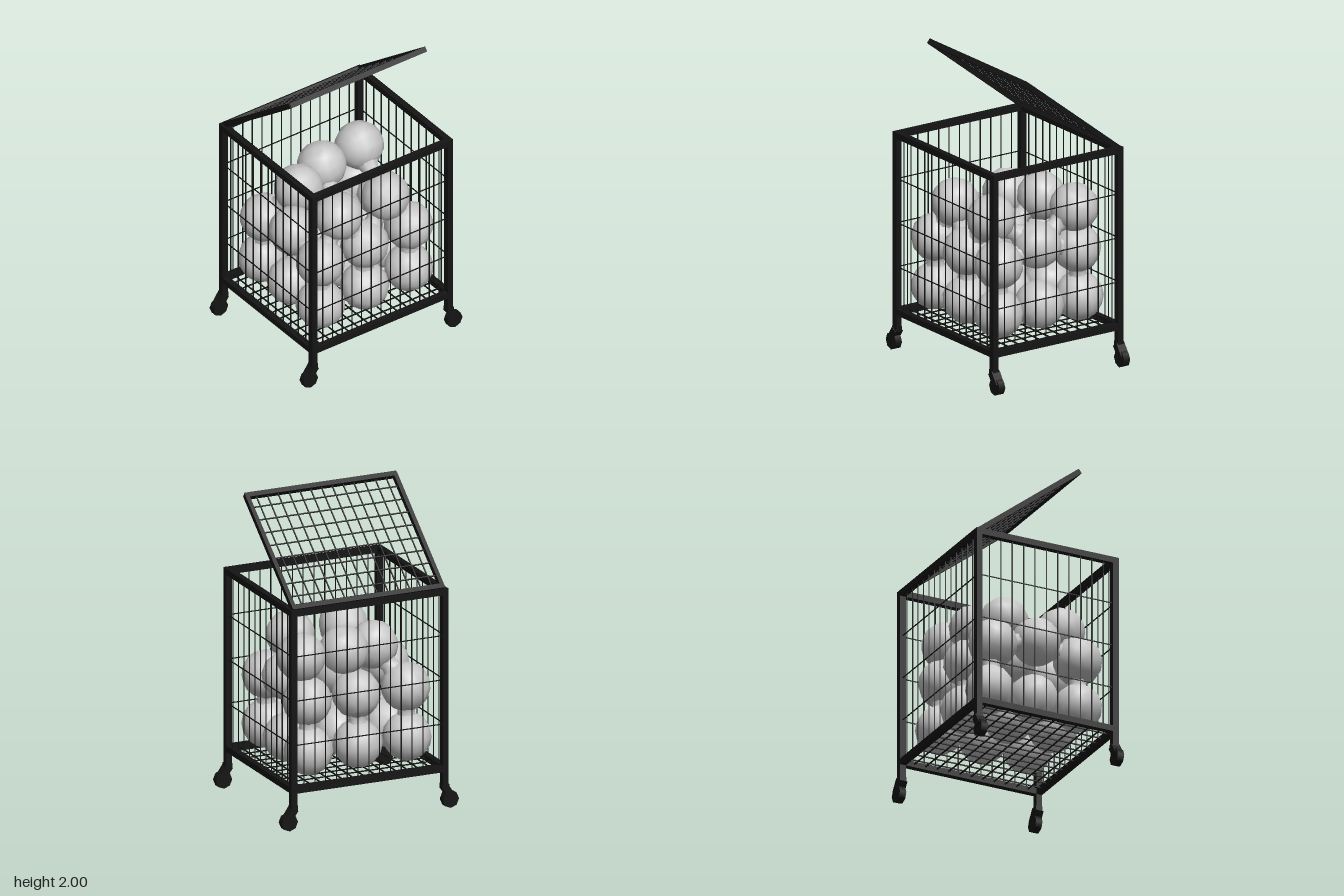
import * as THREE from 'three';

const black = new THREE.MeshStandardMaterial({ color: 0x141414 });
black.name = 'black metal';
const grey = new THREE.MeshStandardMaterial({ color: 0xc8c8c8 });
grey.name = 'light grey ball';

const X = 0.478, Z = 0.522, LOW = 0.26, TOP = 1.42;
const BAR = 0.04, THIN = 0.0055, THICK = 0.007;

function box(parent, name, size, pos) {
  const mesh = new THREE.Mesh(new THREE.BoxGeometry(...size), black);
  mesh.name = name;
  mesh.position.set(...pos);
  parent.add(mesh);
  return mesh;
}

// evenly spaced positions strictly between -half and half
function spaced(half, gaps) {
  return Array.from({ length: gaps - 1 }, (_, i) => -half + (2 * half * (i + 1)) / gaps);
}

// flat wire grid in the local x-z plane
function wireGrid(parent, name, hx, hz, nx, nz, wire) {
  const g = new THREE.Group();
  g.name = name;
  for (const x of spaced(hx, nx)) box(g, 'wire', [wire, wire, 2 * hz], [x, 0, 0]);
  for (const z of spaced(hz, nz)) box(g, 'crossWire', [2 * hx, wire, wire], [0, 0, z]);
  parent.add(g);
  return g;
}

// swivel caster trailing outwards under a corner post
function caster(parent, sx, sz) {
  const g = new THREE.Group();
  g.name = 'caster';
  box(g, 'swivelPlate', [0.045, 0.03, 0.045], [0, 0.145, 0]);
  const fork = box(g, 'fork', [0.06, 0.09, 0.045], [0, 0.105, 0.022]);
  fork.rotation.x = -0.6;
  const wheel = new THREE.Mesh(new THREE.CylinderGeometry(0.056, 0.056, 0.045, 8), black);
  wheel.name = 'wheel';
  wheel.rotation.z = Math.PI / 2;
  wheel.position.set(0, 0.056, 0.034);
  g.add(wheel);
  g.position.set(sx * X, 0, sz * Z);
  if (sz < 0) g.rotation.y = Math.PI;
  parent.add(g);
}

// narrow bridge where two stacked balls touch
function neck(parent, a, b) {
  const dir = b.clone().sub(a);
  const profile = [[0.1, -0.1], [0.07, -0.04], [0.055, 0], [0.07, 0.04], [0.1, 0.1]];
  const mesh = new THREE.Mesh(
    new THREE.LatheGeometry(profile.map((p) => new THREE.Vector2(...p)), 8), grey);
  mesh.name = 'ballContact';
  mesh.position.copy(a).add(b).multiplyScalar(0.5);
  mesh.quaternion.setFromUnitVectors(new THREE.Vector3(0, 1, 0), dir.normalize());
  parent.add(mesh);
}

export function createModel() {
  const model = new THREE.Group();
  model.name = 'ballCage';

  // corner posts and casters
  for (const sx of [-1, 1]) {
    for (const sz of [-1, 1]) {
      box(model, 'cornerPost', [BAR, TOP - 0.12, BAR], [sx * X, (TOP + 0.16) / 2, sz * Z]);
      caster(model, sx, sz);
    }
  }

  // top and bottom rails
  for (const y of [LOW, TOP]) {
    for (const s of [-1, 1]) {
      box(model, 'crossRail', [2 * X + BAR, BAR, BAR], [0, y, s * Z]);
      box(model, 'sideRail', [BAR, BAR, 2 * Z + BAR], [s * X, y, 0]);
    }
  }

  // wire walls and floor
  const mid = (LOW + TOP) / 2, half = (TOP - LOW) / 2;
  for (const s of [-1, 1]) {
    const wall = wireGrid(model, 'endWires', X, half, 12, 4, THIN);
    wall.rotation.x = Math.PI / 2;
    wall.position.set(0, mid, s * Z);
    const side = wireGrid(model, 'sideWires', half, Z, 4, 14, THIN);
    side.rotation.z = Math.PI / 2;
    side.position.set(s * X, mid, 0);
  }
  wireGrid(model, 'floorWires', X, Z, 12, 14, THICK).position.y = LOW;

  // open lid, hinged along the right side
  const lid = new THREE.Group();
  lid.name = 'openLid';
  const length = 0.89, rail = 0.034;
  for (const s of [-1, 1]) {
    box(lid, 'lidSideRail', [length, rail, rail * 0.8], [length / 2, 0, s * (Z - 0.01)]);
    box(lid, 'lidEndRail', [rail, rail, 2 * Z], [s < 0 ? 0.01 : length - 0.01, 0, 0]);
  }
  wireGrid(lid, 'lidWires', length / 2, Z, 9, 14, THICK).position.x = length / 2;
  lid.position.set(-0.468, 1.438, 0);
  lid.rotation.z = 0.664;
  model.add(lid);

  // piled balls: lower layer, middle layer, loose ones on top
  const balls = [];
  for (const z of [-0.335, 0.005, 0.345]) {
    for (const x of [-0.305, 0, 0.31]) balls.push([x, 0.445, z]);
    balls.push([-0.285, 0.765, z], [0.02, 0.84, z], [0.31, 0.765, z]);
  }
  balls.push([-0.25, 1.045, -0.36], [-0.22, 1.04, -0.05], [-0.13, 1.015, 0.195]);
  balls.push([0.265, 1.02, -0.19], [0.275, 1.03, 0.18]);
  const ballGeometry = new THREE.SphereGeometry(0.156, 12, 8);
  const centres = balls.map((p) => new THREE.Vector3(...p));
  centres.forEach((p, i) => {
    const ball = new THREE.Mesh(ballGeometry, grey);
    ball.name = 'ball';
    ball.position.copy(p);
    ball.rotation.set(i * 1.3, i * 0.7, i * 2.1);
    model.add(ball);
    for (const q of centres) {
      if (q.y - p.y > 0.05 && q.distanceTo(p) < 0.34) neck(model, p, q);
    }
  });

  return model;
}
